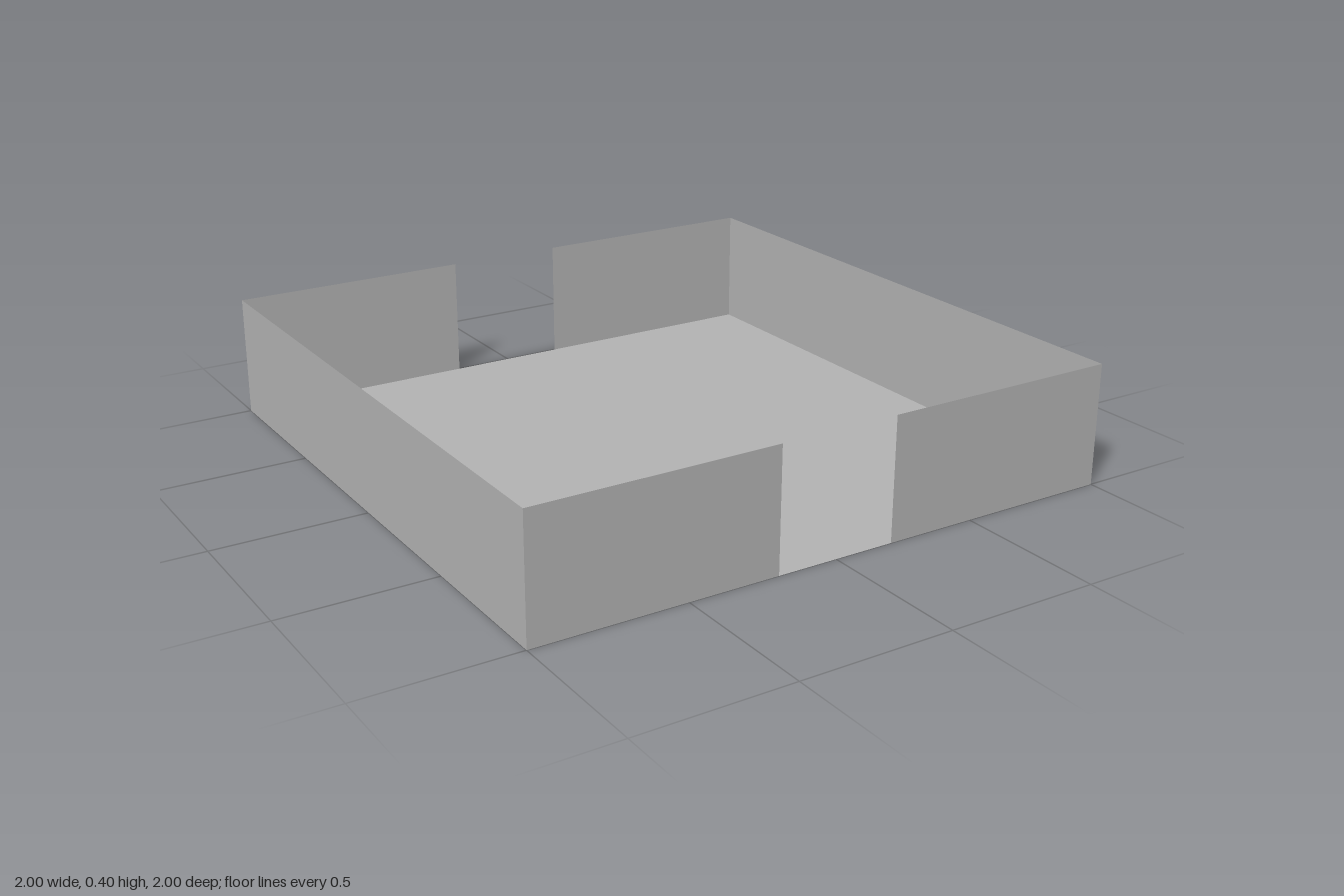
import * as THREE from 'three';

const SIZE = 2, HEIGHT = 0.4, GAP = 0.4;

export function createModel() {
  const model = new THREE.Group();
  model.name = 'walledCourt';
  const grey = new THREE.MeshStandardMaterial({ color: 0xb2b2b2, side: THREE.DoubleSide });
  grey.name = 'grey';

  // Thin sheet, turned about one axis and set in place
  function sheet(name, width, height, position, rotX, rotY) {
    const mesh = new THREE.Mesh(new THREE.PlaneGeometry(width, height), grey);
    mesh.name = name;
    mesh.position.set(...position);
    mesh.rotation.set(rotX, rotY, 0);
    model.add(mesh);
  }

  // Floor
  sheet('floor', SIZE, SIZE, [0, 0, 0], -Math.PI / 2, 0);

  const half = SIZE / 2;
  const panel = (SIZE - GAP) / 2;
  for (const [side, sx] of [['left', 1], ['right', -1]]) {
    // Full-length side wall
    sheet(side + 'Wall', SIZE, HEIGHT, [sx * half, HEIGHT / 2, 0], 0, sx * Math.PI / 2);
    // Wall panels beside the front and back openings
    for (const [end, sz] of [['front', 1], ['back', -1]]) {
      const x = sx * (GAP + panel) / 2;
      sheet(`${end}Wall_${side}`, panel, HEIGHT, [x, HEIGHT / 2, sz * half], 0, sz > 0 ? 0 : Math.PI);
    }
  }
  return model;
}
